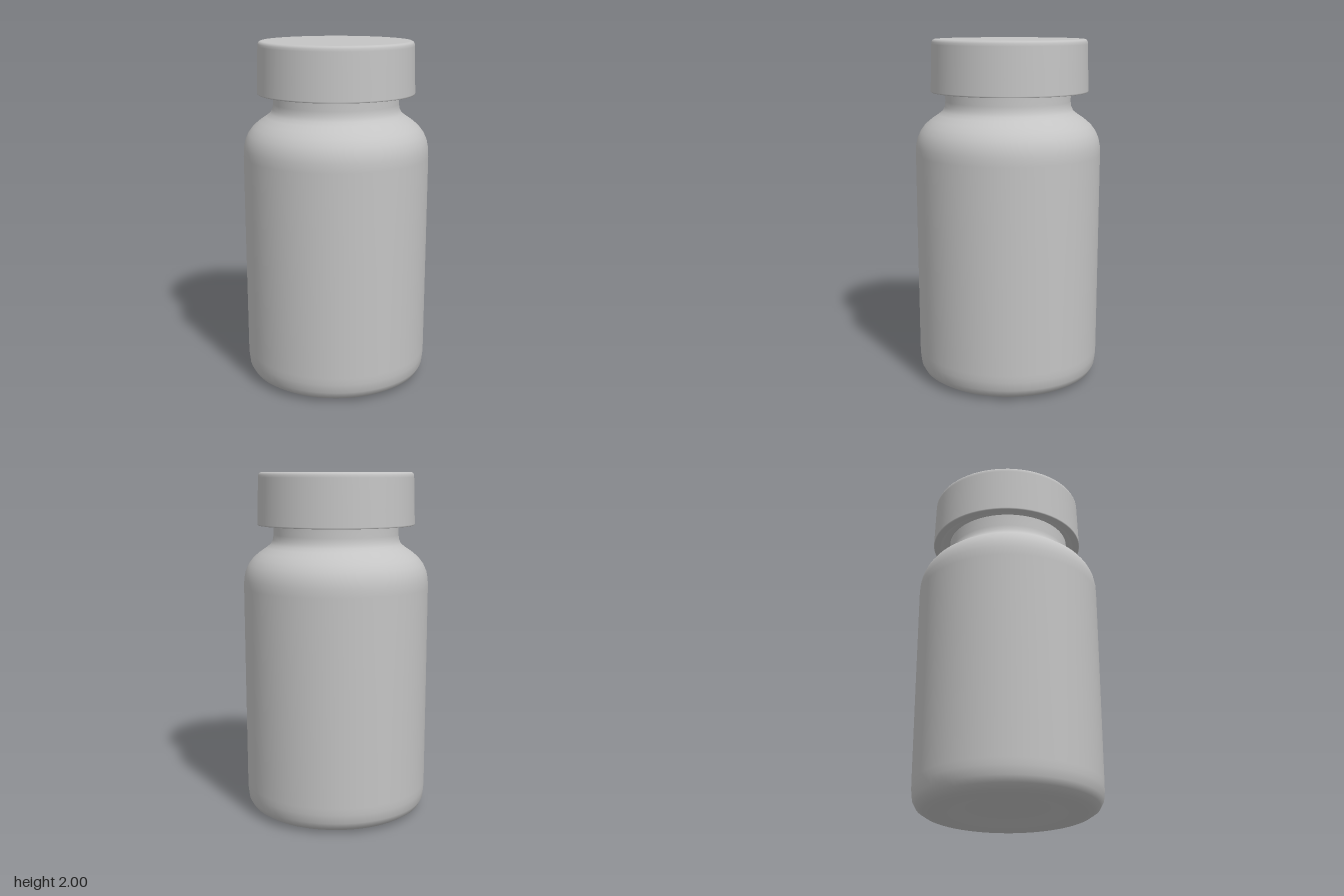
import * as THREE from 'three';

const SEGMENTS = 64;

// Turns a list of [radius, height] points into a smooth solid of revolution
function turned(name, points, material) {
  const profile = points.map(([r, y]) => new THREE.Vector2(r, y));
  const mesh = new THREE.Mesh(new THREE.LatheGeometry(profile, SEGMENTS), material);
  mesh.name = name;
  return mesh;
}

export function createModel() {
  const plastic = new THREE.MeshStandardMaterial({ color: 0xc4c4c4 });
  plastic.name = 'grey plastic';

  const group = new THREE.Group();
  group.name = 'pillBottle';

  // Bottle: recessed base, rounded foot, straight wall, soft shoulder and neck
  const bottle = turned('bottle', [
    [0, 0.05], [0.16, 0.048], [0.23, 0.042], [0.28, 0.025], [0.33, 0.008],
    [0.38, 0.002], [0.43, 0.003], [0.475, 0.012], [0.51, 0.035], [0.529, 0.07],
    [0.535, 0.12], [0.536, 0.16], [0.538, 0.8], [0.539, 1.34], [0.537, 1.39],
    [0.528, 1.435], [0.51, 1.475], [0.482, 1.512], [0.445, 1.543], [0.405, 1.57],
    [0.38, 1.59], [0.368, 1.615], [0.364, 1.645], [0.364, 1.74],
  ], plastic);

  // Screw cap: slightly tapered skirt, crisp rims and a shallow hollow below
  const cap = turned('cap', [
    [0.355, 1.72], [0.385, 1.715], [0.41, 1.702], [0.418, 1.7], [0.45, 1.7], [0.453, 1.7], [0.456, 1.703],
    [0.456, 1.708], [0.453, 1.8], [0.448, 1.97], [0.447, 1.984],
    [0.442, 1.994], [0.433, 1.999], [0.42, 2.0], [0, 2.0],
  ], plastic);
  cap.position.set(0.005, 0, -0.008);

  group.add(bottle, cap);
  return group;
}
